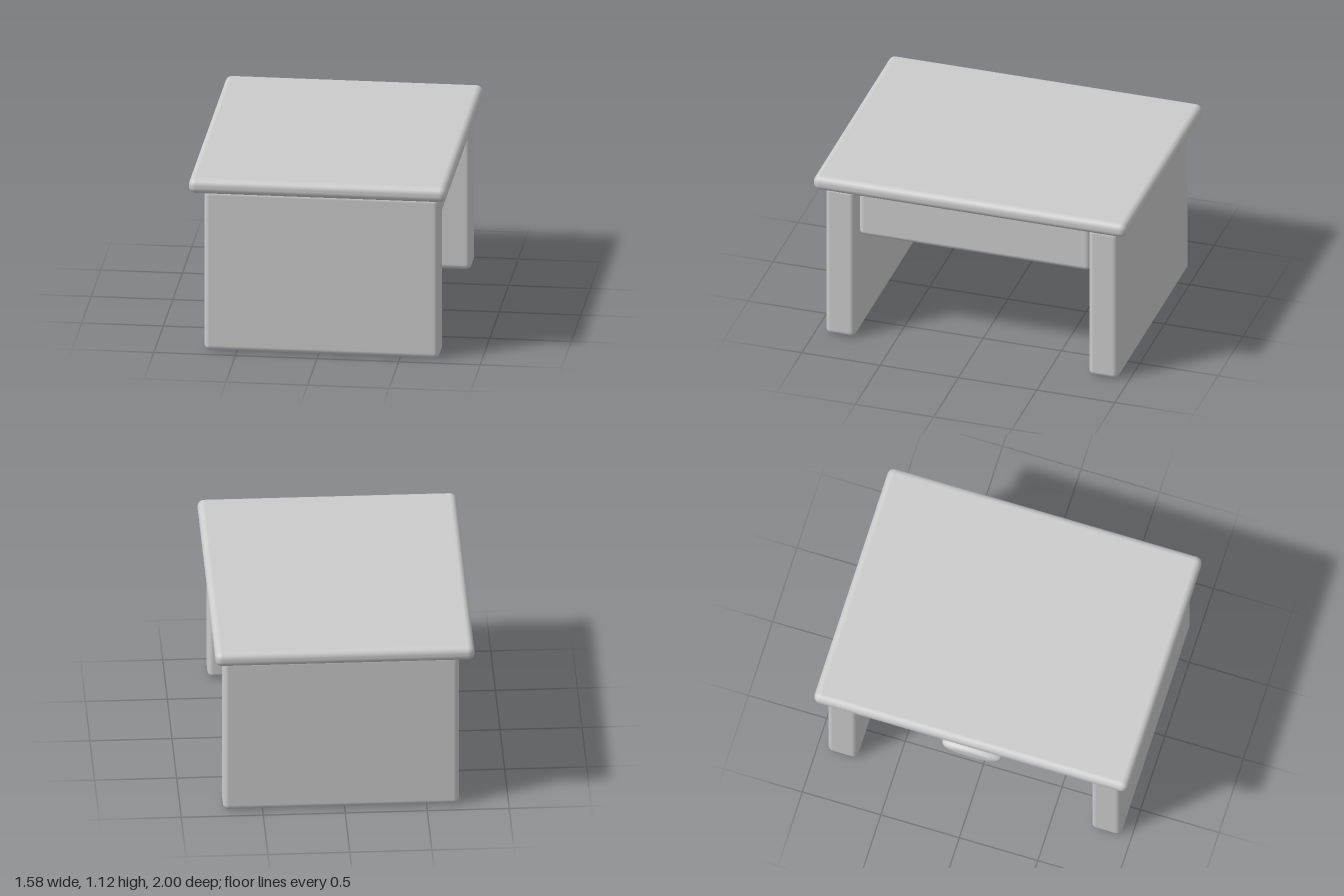
import * as THREE from 'three';
import { RoundedBoxGeometry } from 'three/addons/geometries/RoundedBoxGeometry.js';

const material = new THREE.MeshStandardMaterial({ color: 0xcccccc });

// Soft-edged box given by its extents on each axis.
function softBox(name, [x0, x1], [y0, y1], [z0, z1], radius) {
  const geometry = new RoundedBoxGeometry(x1 - x0, y1 - y0, z1 - z0, 5, radius);
  const mesh = new THREE.Mesh(geometry, material);
  mesh.name = name;
  mesh.position.set((x0 + x1) / 2, (y0 + y1) / 2, (z0 + z1) / 2);
  return mesh;
}

export function createModel() {
  const group = new THREE.Group();
  group.name = 'sideTable';

  group.add(softBox('tableTop', [-0.79, 0.79], [1.025, 1.12], [-1, 1], 0.042));

  // Slab legs at the front and back
  group.add(softBox('frontLeg', [-0.7, 0.74], [0, 1.035], [0.745, 0.935], 0.035));
  group.add(softBox('backLeg', [-0.7, 0.74], [0, 1.035], [-0.935, -0.745], 0.035));

  // Drawer hung between the legs
  group.add(softBox('drawer', [-0.66, 0.675], [0.69, 1.06], [-0.74, 0.74], 0.035));

  // Oval pull on the drawer: a turned knob stretched along z
  const profile = new THREE.SplineCurve([
    [0.042, 0], [0.044, 0.025], [0.052, 0.045], [0.0575, 0.07],
    [0.054, 0.1], [0.042, 0.116], [0.02, 0.12], [0, 0.12],
  ].map(([r, h]) => new THREE.Vector2(r, h)));
  const points = profile.getPoints(28);
  points.forEach((p) => { p.x = Math.max(p.x, 0); });
  const knobGeometry = new THREE.LatheGeometry(points, 40);
  knobGeometry.rotateZ(Math.PI / 2);
  knobGeometry.scale(1, 1, 3.3);
  const knob = new THREE.Mesh(knobGeometry, material);
  knob.name = 'drawerKnob';
  knob.position.set(-0.66, 0.887, 0);
  group.add(knob);

  return group;
}
